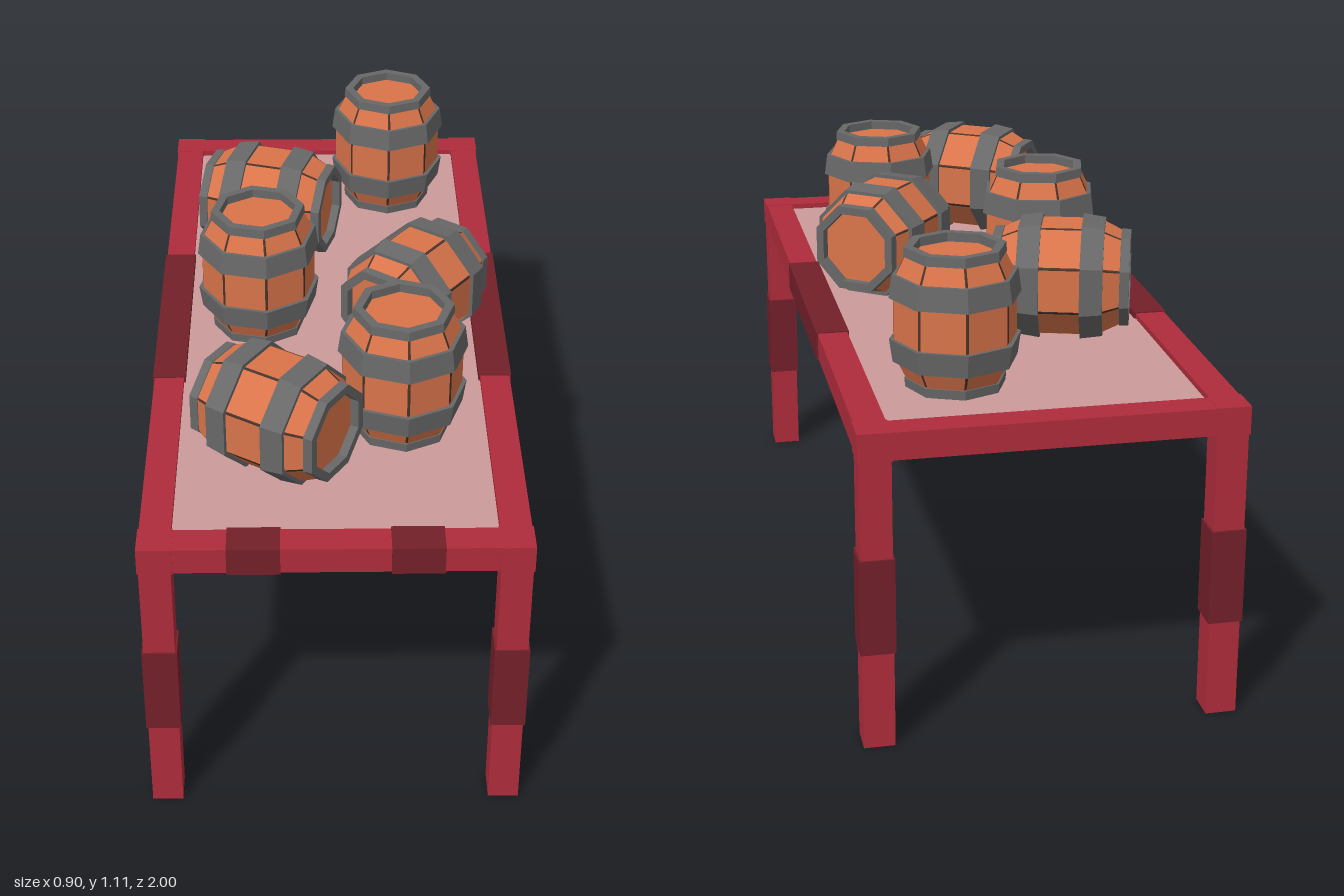
import * as THREE from 'three';

const mat = (color, extra = {}) => new THREE.MeshStandardMaterial({ color, flatShading: true, ...extra });
const frameMat = mat(0xb02c3c);
const wrapMat = mat(0x74202a);
const panelMat = mat(0xcc9a9a);
const woodMat = mat(0xd9744a, { side: THREE.DoubleSide });
const seamMat = mat(0x4a352c);
const ironMat = mat(0x686868);

const SIDES = 8;
const pts = (list) => list.map(([r, y]) => new THREE.Vector2(r, y));

function add(parent, name, geometry, material) {
  const mesh = new THREE.Mesh(geometry, material);
  mesh.name = name;
  parent.add(mesh);
  return mesh;
}

function box(parent, name, size, pos, material) {
  add(parent, name, new THREE.BoxGeometry(...size), material).position.set(...pos);
}

// Eight-sided barrel along y, centred on the origin
function createBarrel(spin) {
  const barrel = new THREE.Group();
  const body = new THREE.Group();
  body.rotation.y = spin;
  barrel.add(body);

  // Flat staves over a slightly smaller dark core that shows in the seams
  const profile = [[0.112, -0.16], [0.139, -0.105], [0.146, -0.05], [0.146, 0.05], [0.139, 0.105], [0.112, 0.16]];
  const core = profile.map(([r, y]) => [r * 0.985, y]);
  add(body, 'staveSeams', new THREE.LatheGeometry(pts(core), SIDES), seamMat);
  const step = (Math.PI * 2) / SIDES;
  for (let i = 0; i < SIDES; i++) {
    const stave = new THREE.LatheGeometry(pts(profile), 1, (i + 0.03) * step, step * 0.94);
    add(body, 'stave', stave, woodMat);
  }

  // Recessed heads at both ends
  add(body, 'barrelHeads', new THREE.CylinderGeometry(0.106, 0.106, 0.296, SIDES), woodMat);

  // End rims and belly hoops, mirrored in y
  for (const s of [-1, 1]) {
    const rim = [[0.115, 0.145], [0.122, 0.147], [0.12, 0.17], [0.098, 0.17], [0.098, 0.145], [0.115, 0.145]];
    const hoop = [[0.138, 0.05], [0.157, 0.05], [0.149, 0.106], [0.13, 0.106], [0.138, 0.05]];
    for (const [name, ring] of [['endRim', rim], ['hoop', hoop]]) {
      const p = ring.map(([r, y]) => [r, y * s]);
      if (s < 0) p.reverse();
      add(body, name, new THREE.LatheGeometry(pts(p), SIDES), ironMat);
    }
  }
  return barrel;
}

export function createModel() {
  const model = new THREE.Group();
  const table = new THREE.Group();
  table.name = 'table';
  model.add(table);

  const X = 0.411, Z = 0.958, W = 0.074;
  const railY = 0.746, railH = 0.066;

  // Table top panel, set just below the rail tops
  box(table, 'tablePanel', [X * 2, 0.012, Z * 2], [0, 0.759, 0], panelMat);

  for (const sx of [-1, 1]) {
    // Long side rail with its centre wrap
    box(table, 'sideRail', [W, railH, Z * 2], [sx * X, railY, 0], frameMat);
    box(table, 'sideRailWrap', [0.082, 0.072, 0.605], [sx * X, railY, 0], wrapMat);
    // Wraps on the front rail only
    box(table, 'frontRailWrap', [0.122, 0.072, 0.082], [sx * 0.187, railY, Z], wrapMat);
    // Legs with corner blocks and wraps
    for (const sz of [-1, 1]) {
      box(table, 'leg', [W, 0.74, W], [sx * X, 0.37, sz * Z], frameMat);
      box(table, 'cornerBlock', [0.08, 0.069, 0.08], [sx * X, railY, sz * Z], frameMat);
      box(table, 'legWrap', [0.083, 0.235, 0.083], [sx * X, 0.358, sz * Z], wrapMat);
    }
  }
  for (const sz of [-1, 1]) {
    box(table, 'endRail', [X * 2, railH, W], [0, railY, sz * Z], frameMat);
  }

  // Standing barrels: x, z, spin
  for (const [x, z, spin] of [[0.17, -0.677, 0], [-0.187, 0.013, 0.15], [0.167, 0.488, 0.06]]) {
    const barrel = createBarrel(spin);
    barrel.name = 'standingBarrel';
    barrel.position.set(x, 0.935, z);
    model.add(barrel);
  }

  // Lying barrels: x, z, direction of the axis from +x towards +z
  for (const [x, z, deg] of [[-0.16, -0.367, 17], [0.215, 0.092, -53], [-0.135, 0.647, 33]]) {
    const barrel = createBarrel(Math.PI / 8);
    barrel.name = 'lyingBarrel';
    barrel.position.set(x, 0.915, z);
    barrel.rotation.set(0, -THREE.MathUtils.degToRad(deg), -Math.PI / 2);
    model.add(barrel);
  }
  return model;
}
